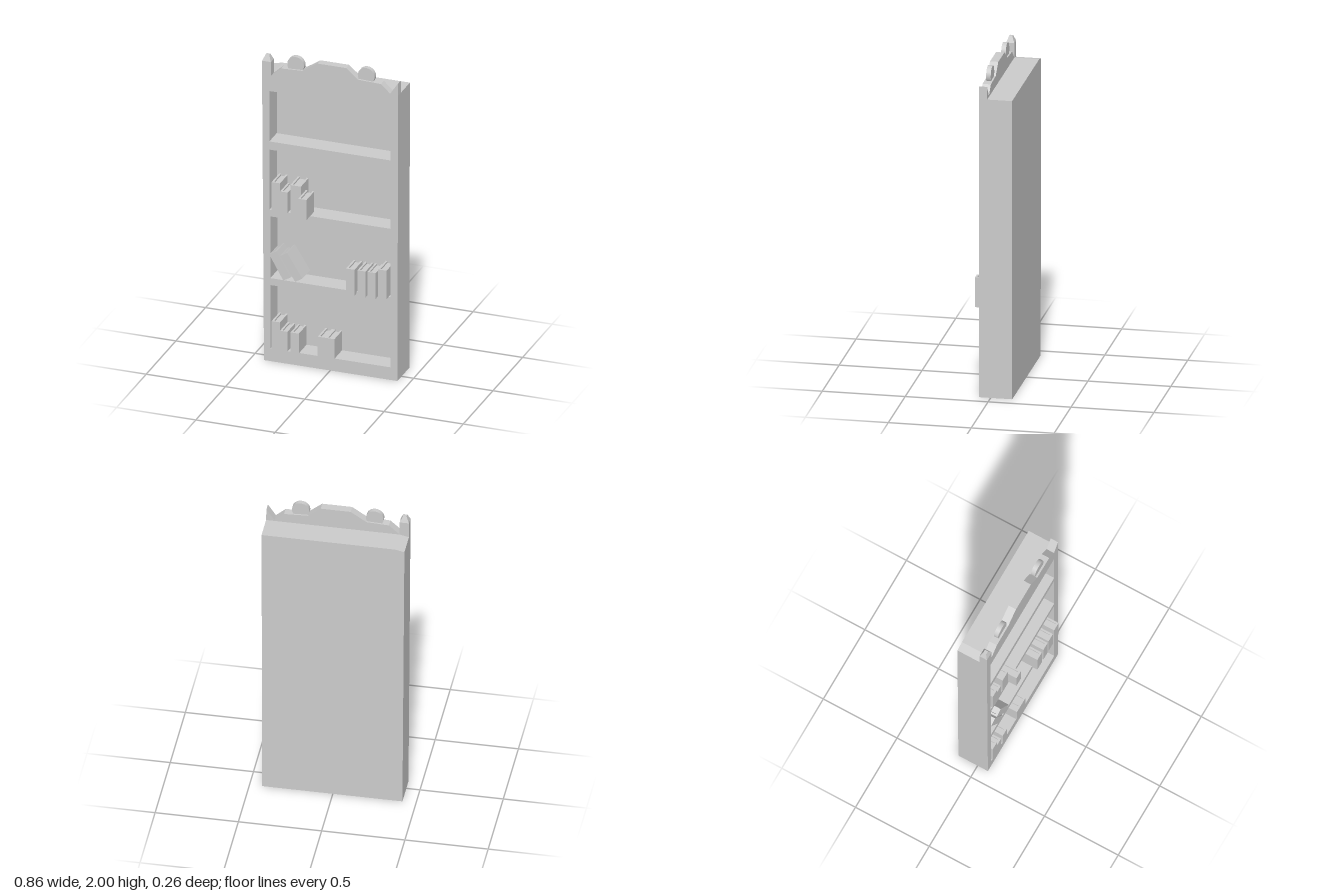
import * as THREE from 'three';

const BACK = -0.13, RECESS = -0.055, FRONT = 0.07, CREST_BACK = 0.02;
const material = new THREE.MeshStandardMaterial({ color: 0xcccccc, flatShading: true });

function addMesh(parent, name, geometry) {
  const mesh = new THREE.Mesh(geometry, material);
  mesh.name = name;
  parent.add(mesh);
  return mesh;
}

const shapeOf = (pts) => new THREE.Shape(pts.map(([x, y]) => new THREE.Vector2(x, y)));

// Flat outline extruded between two depths
function slab(shape, z0, z1) {
  return new THREE.ExtrudeGeometry(shape, { depth: z1 - z0, bevelEnabled: false }).translate(0, 0, z0);
}

// Box given by its limits
function block(x0, x1, y0, y1, z0, z1) {
  return new THREE.BoxGeometry(x1 - x0, y1 - y0, z1 - z0)
    .translate((x0 + x1) / 2, (y0 + y1) / 2, (z0 + z1) / 2);
}

// Book with its spine to the front, two covers and a lower page block; origin at its centre
function makeBook(width, height, z0, z1) {
  const book = new THREE.Group();
  book.name = 'book';
  const w = width / 2, h = height / 2, t = 0.012;
  addMesh(book, 'spine', block(-w, w, -h, h, z1 - t, z1));
  for (const s of [-1, 1]) {
    const a = s * w, b = s * (w - t);
    addMesh(book, 'cover', block(Math.min(a, b), Math.max(a, b), -h, h, z0, z1 - t));
  }
  addMesh(book, 'pages', block(-w + t, w - t, -h + 0.01, h - 0.01, z0 + 0.006, z1 - t));
  return book;
}

export function createModel() {
  const model = new THREE.Group();
  model.name = 'bookcase';

  // Case: slightly tapered outline, one corner of the top a little lower
  const outline = [[-0.418, 0], [0.424, 0], [0.428, 1.857], [-0.375, 1.857], [-0.43, 1.845]];
  addMesh(model, 'backPanel', slab(shapeOf(outline), BACK, RECESS));

  // Frame with four shelf openings: left edge, bottom, top
  const frame = shapeOf(outline);
  const openings = [[-0.378, 0.082, 0.495], [-0.378, 0.54, 0.942], [-0.384, 0.984, 1.376], [-0.384, 1.429, 1.757]];
  for (const [x, y0, y1] of openings) {
    frame.holes.push(new THREE.Path([[x, y0], [x, y1], [0.38, y1], [0.38, y0]]
      .map(([px, py]) => new THREE.Vector2(px, py))));
  }
  addMesh(model, 'shelfFrame', slab(frame, RECESS, FRONT));

  // Crest with a raised middle and a pointed right end
  const crest = shapeOf([
    [-0.375, 1.857], [0.428, 1.857], [0.426, 1.935], [0.378, 1.863], [0.32, 1.916], [0.175, 1.922],
    [0.1, 1.985], [-0.08, 1.985], [-0.175, 1.922], [-0.31, 1.916],
  ]);
  addMesh(model, 'crest', slab(crest, CREST_BACK, FRONT));

  // Round ornaments standing on the crest
  for (const x of [-0.223, 0.222]) {
    const disc = addMesh(model, 'roundOrnament',
      new THREE.CylinderGeometry(0.053, 0.053, 0.028, 24).rotateX(Math.PI / 2));
    disc.material = new THREE.MeshStandardMaterial({ color: 0xcccccc });
    disc.position.set(x, 1.947, 0.044);
  }

  // Post with a blunt pyramid cap on the left of the front
  const finial = new THREE.Group();
  finial.name = 'finial';
  model.add(finial);
  addMesh(finial, 'finialPost', block(-0.43, -0.374, 1.845, 1.947, CREST_BACK, FRONT));
  const cap = addMesh(finial, 'finialCap', new THREE.CylinderGeometry(0.2, 0.5, 1, 4)
    .rotateY(Math.PI / 4).scale(0.056 * Math.SQRT2, 0.038, 0.05 * Math.SQRT2));
  cap.position.set(-0.402, 1.966, 0.045);

  // Upright books: left, right, bottom, top, front
  const upright = [
    [-0.368, -0.315, 0.984, 1.169, 0.075], [-0.315, -0.267, 0.984, 1.116, 0.073],
    [-0.25, -0.183, 0.984, 1.169, 0.075], [-0.18, -0.127, 0.984, 1.115, 0.13],
    [0.113, 0.167, 0.53, 0.698, 0.106], [0.185, 0.237, 0.53, 0.698, 0.106],
    [0.248, 0.3, 0.53, 0.698, 0.106], [0.315, 0.369, 0.54, 0.725, 0.106],
    [-0.368, -0.315, 0.082, 0.264, 0.075], [-0.315, -0.268, 0.082, 0.21, 0.075],
    [-0.248, -0.196, 0.082, 0.21, 0.075],
    [-0.077, -0.026, 0.082, 0.21, 0.075], [-0.026, 0.028, 0.082, 0.21, 0.075],
  ];
  for (const [x0, x1, y0, y1, z] of upright) {
    const book = makeBook(x1 - x0, y1 - y0, Math.max(RECESS, z - 0.13), z);
    book.position.set((x0 + x1) / 2, (y0 + y1) / 2, 0);
    model.add(book);
  }

  // Two leaning books: centre and tilt
  for (const [x, y, tilt] of [[-0.316, 0.631, 0.515], [-0.245, 0.633, 0.56]]) {
    const book = makeBook(0.054, 0.18, RECESS, 0.073);
    book.name = 'leaningBook';
    book.position.set(x, y, 0);
    book.rotation.z = tilt;
    model.add(book);
  }
  return model;
}
